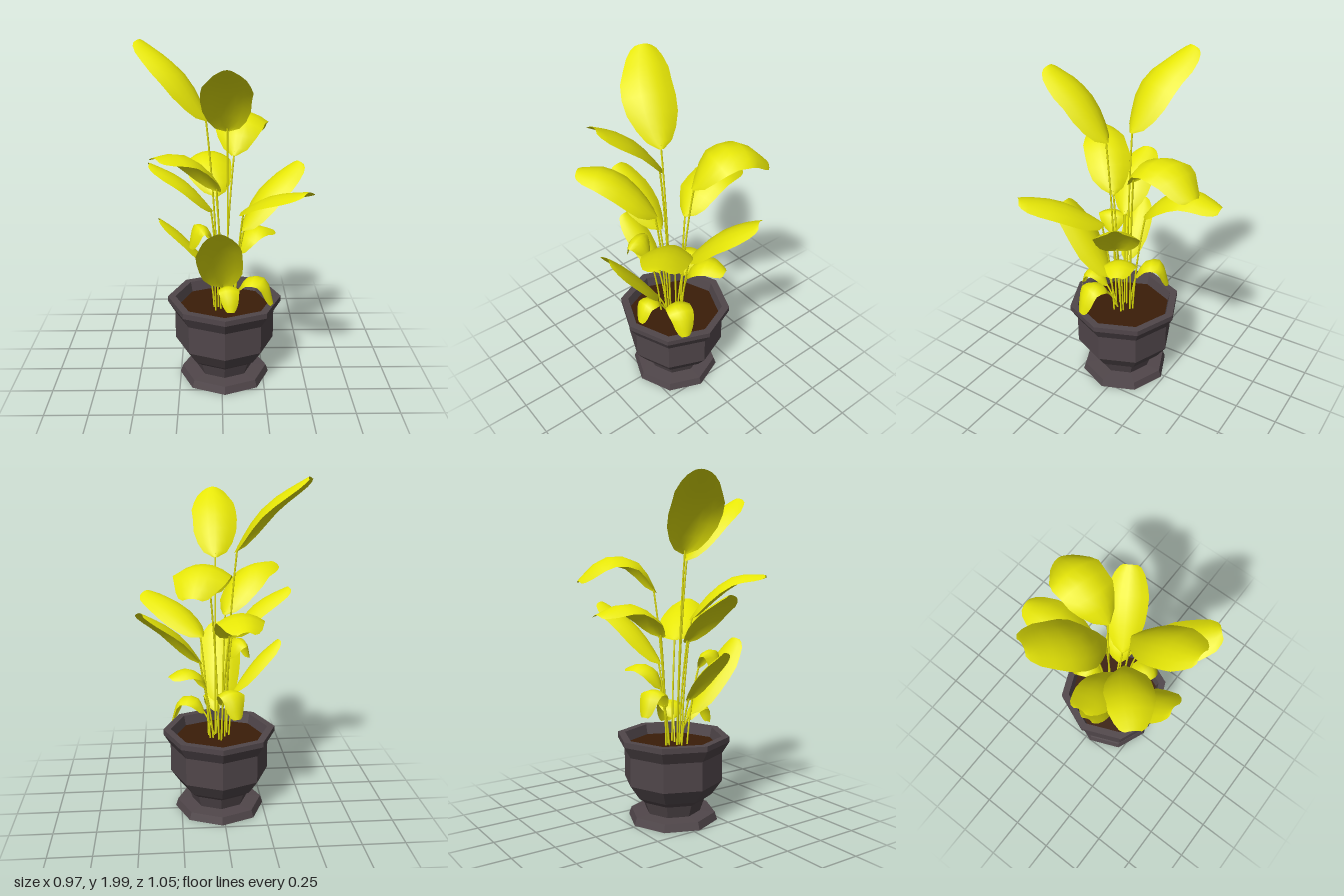
import * as THREE from 'three';

const V = (a) => new THREE.Vector3(...a);
const leafMat = new THREE.MeshStandardMaterial({ color: 0xe6e606, side: THREE.DoubleSide });
leafMat.name = 'leafYellow';
const potMat = new THREE.MeshStandardMaterial({ color: 0x50464a });
potMat.name = 'potCharcoal';
const soilMat = new THREE.MeshStandardMaterial({ color: 0x3a1d08 });
soilMat.name = 'soilBrown';

const CX = 0.016, CZ = 0.036; // pot axis

// Upright leaves: half width, then rib points from base to tip
const UPRIGHT = [
  [0.15, [-0.075, 1.57, 0.05], [-0.24, 1.82, 0], [-0.455, 1.99, -0.12]],
  [0.137, [0.03, 1.53, 0.13], [0.02, 1.76, 0.31], [0.02, 1.9, 0.515]],
  [0.13, [0.12, 0.92, 0.02], [0.28, 1.14, -0.08], [0.46, 1.28, -0.19]],
  [0.138, [0.11, 1.06, 0.11], [0.265, 1.2, 0.28], [0.44, 1.275, 0.45]],
  [0.132, [0, 0.62, 0.15], [-0.01, 0.87, 0.32], [-0.015, 1.06, 0.475]],
  [0.118, [-0.05, 1.06, 0.08], [-0.21, 1.24, 0.115], [-0.4, 1.35, 0.125]],
  [0.09, [-0.07, 0.72, 0.08], [-0.22, 0.91, 0.1], [-0.35, 1.03, 0.13]],
];

// Arching leaves, whose tips bend over
const ARCHING = [
  [0.155, [0.07, 1.35, -0.045], [0.1, 1.52, -0.17], [0.14, 1.54, -0.34], [0.19, 1.42, -0.485]],
  [0.138, [-0.03, 1.1, -0.07], [-0.06, 1.22, -0.17], [-0.075, 1.295, -0.32], [-0.08, 1.25, -0.52]],
  [0.138, [-0.02, 1.19, 0.13], [-0.1, 1.33, 0.21], [-0.21, 1.435, 0.31], [-0.345, 1.45, 0.425]],
  [0.095, [0.1, 0.77, 0.01], [0.14, 0.87, -0.02], [0.21, 0.91, -0.06], [0.31, 0.88, -0.1]],
  [0.09, [-0.05, 0.9, 0.17], [-0.09, 1, 0.19], [-0.14, 1.01, 0.21], [-0.18, 0.89, 0.22]],
  [0.062, [0.03, 0.57, 0.15], [0.035, 0.65, 0.21], [0.04, 0.65, 0.285], [0.05, 0.54, 0.325]],
  [0.08, [0.1, 0.58, 0.1], [0.15, 0.66, 0.125], [0.24, 0.66, 0.155], [0.295, 0.52, 0.17]],
  [0.075, [0, 0.68, -0.03], [-0.02, 0.785, -0.085], [-0.05, 0.795, -0.17], [-0.07, 0.66, -0.22]],
];

// Leaf outline: position along the rib, relative half width
const OUTLINE = [[0, 0.08], [0.07, 0.48], [0.18, 0.76], [0.32, 0.94], [0.48, 1],
  [0.64, 0.98], [0.78, 0.88], [0.9, 0.7], [0.97, 0.5], [1, 0.32]];

function seeded(seed) {
  return () => ((seed = (seed * 16807) % 2147483647) / 2147483647);
}

// Blade with ragged edges that droop either side of the rib
function leafGeometry(rib, half, rand) {
  const side = rib.getPoint(1).sub(rib.getPoint(0)).cross(new THREE.Vector3(0, 1, 0)).normalize();
  const pos = [], index = [], cols = 6, n = cols + 1;
  for (const [t, w] of OUTLINE) {
    const p = rib.getPoint(t);
    const normal = side.clone().cross(rib.getTangent(t)).normalize();
    const ragged = [1.02 - 0.09 * rand(), 1.02 - 0.09 * rand()];
    for (let j = 0; j <= cols; j++) {
      const s = (j / cols) * 2 - 1;
      const width = half * w * ragged[s < 0 ? 0 : 1];
      const q = p.clone().addScaledVector(side, s * width)
        .addScaledVector(normal, (0.07 - 0.36 * s * s) * half * w);
      pos.push(q.x, q.y, q.z);
    }
  }
  for (let i = 0; i < OUTLINE.length - 1; i++) {
    for (let j = 0; j < cols; j++) {
      const a = i * n + j, b = a + 1, c = a + n, d = c + 1;
      index.push(a, b, c, b, d, c);
    }
  }
  const g = new THREE.BufferGeometry();
  g.setAttribute('position', new THREE.Float32BufferAttribute(pos, 3));
  g.setIndex(index);
  g.computeVertexNormals();
  return g;
}

function addMesh(parent, name, geometry, material) {
  const m = new THREE.Mesh(geometry, material);
  m.name = name;
  parent.add(m);
  return m;
}

// One leaf on a slender stem rising from the soil
function addLeaf(plant, name, [half, ...points], rand) {
  const rib = new THREE.CatmullRomCurve3(points.map(V));
  addMesh(plant, name, leafGeometry(rib, half, rand), leafMat);

  const base = rib.points[0];
  const foot = new THREE.Vector3(
    CX + (base.x - CX) * 0.45 + (rand() - 0.5) * 0.05, 0.44, CZ + (base.z - CZ) * 0.5);
  const bend = foot.clone().lerp(base, 0.3).setY(0.44 + (base.y - 0.44) * 0.6);
  const path = new THREE.QuadraticBezierCurve3(foot, bend, rib.getPoint(0.04));
  addMesh(plant, 'stem', new THREE.TubeGeometry(path, 8, 0.0055, 5), leafMat);
}

export function createModel() {
  const model = new THREE.Group();
  model.name = 'pottedPlant';

  // Octagonal pot with saucer foot, waist, flared rim and hollow top
  const profile = [[0, 0], [0.27, 0], [0.255, 0.045], [0.165, 0.05], [0.19, 0.122],
    [0.235, 0.155], [0.295, 0.24], [0.295, 0.41], [0.337, 0.478], [0.337, 0.51],
    [0.292, 0.51], [0.27, 0.42]].map(([r, y]) => new THREE.Vector2(r, y));
  const potGeo = new THREE.LatheGeometry(profile, 8).toNonIndexed();
  potGeo.computeVertexNormals();
  addMesh(model, 'pot', potGeo, potMat).position.set(CX, 0, CZ);

  // Soil surface
  const soil = addMesh(model, 'soil', new THREE.CircleGeometry(0.28, 8).rotateX(-Math.PI / 2), soilMat);
  soil.position.set(CX, 0.45, CZ);

  // Foliage
  const plant = new THREE.Group();
  plant.name = 'plant';
  model.add(plant);
  const rand = seeded(71);
  UPRIGHT.forEach((leaf) => addLeaf(plant, 'uprightLeaf', leaf, rand));
  ARCHING.forEach((leaf) => addLeaf(plant, 'archingLeaf', leaf, rand));
  return model;
}
